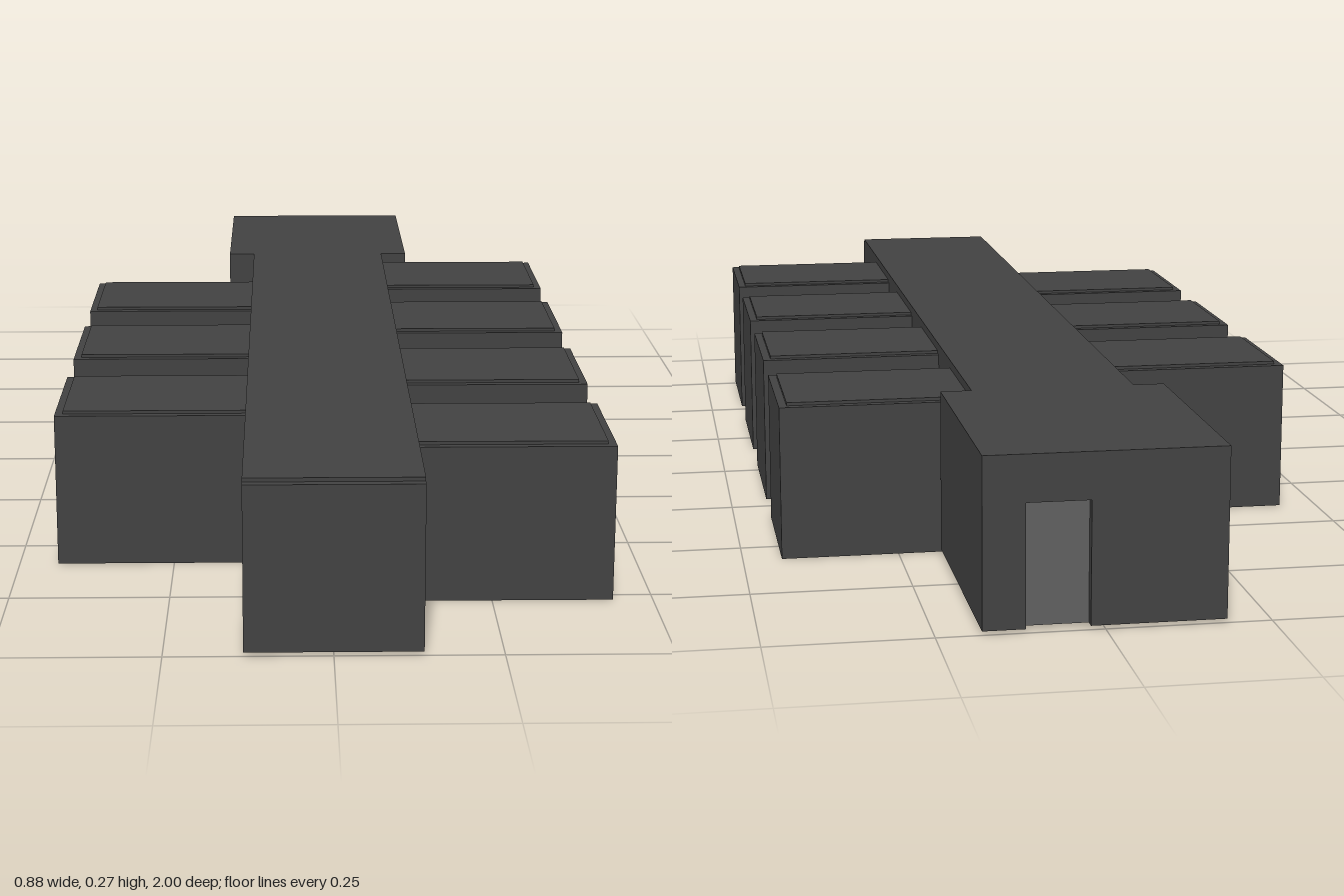
import * as THREE from 'three';

export function createModel() {
  const model = new THREE.Group();
  const wall = new THREE.MeshStandardMaterial({ color: 0x424242 });
  wall.name = 'dark grey wall';
  const panel = new THREE.MeshStandardMaterial({ color: 0x606060 });
  panel.name = 'grey door';

  // box given by its limits on each axis
  function block(name, [x0, x1], [y0, y1], [z0, z1], material = wall, parent = model) {
    const mesh = new THREE.Mesh(new THREE.BoxGeometry(x1 - x0, y1 - y0, z1 - z0), material);
    mesh.position.set((x0 + x1) / 2, (y0 + y1) / 2, (z0 + z1) / 2);
    mesh.name = name;
    parent.add(mesh);
    return mesh;
  }

  // long central corridor with a small step above its front wall
  block('corridor', [-0.132, 0.132], [0.006, 0.267], [-0.58, 0.986]);
  block('corridorFrontWall', [-0.132, 0.132], [0.006, 0.261], [0.986, 1]);

  // side rooms, each with a slightly inset roof slab
  function sideRoom(side, z) {
    const room = new THREE.Group();
    room.name = side > 0 ? 'leftRoom' : 'rightRoom';
    const span = (a, b) => (side > 0 ? [a, b] : [-b, -a]);
    block('roomBody', span(0.13, 0.438), [0, 0.248], [z - 0.123, z + 0.123], wall, room);
    block('roomRoof', span(0.13, 0.425), [0.248, 0.253], [z - 0.11, z + 0.11], wall, room);
    model.add(room);
  }
  for (let i = 0; i < 4; i++) sideRoom(1, 0.649 - i * 0.366);
  for (let i = 0; i < 3; i++) sideRoom(-1, 0.466 - i * 0.366);

  // wider end room
  block('endRoom', [-0.182, 0.182], [0.006, 0.267], [-0.98, -0.58]);

  // back wall with a doorway cut up from the floor
  const outline = new THREE.Shape([
    [-0.182, 0.006], [0.022, 0.006], [0.022, 0.195], [0.118, 0.195],
    [0.118, 0.006], [0.182, 0.006], [0.182, 0.267], [-0.182, 0.267],
  ].map(([x, y]) => new THREE.Vector2(x, y)));
  const backWall = new THREE.Mesh(
    new THREE.ExtrudeGeometry(outline, { depth: 0.02, bevelEnabled: false }), wall);
  backWall.position.z = -1;
  backWall.name = 'backWall';
  model.add(backWall);

  // door set back in the doorway
  block('door', [0.022, 0.118], [0.006, 0.195], [-0.984, -0.979], panel);

  return model;
}
